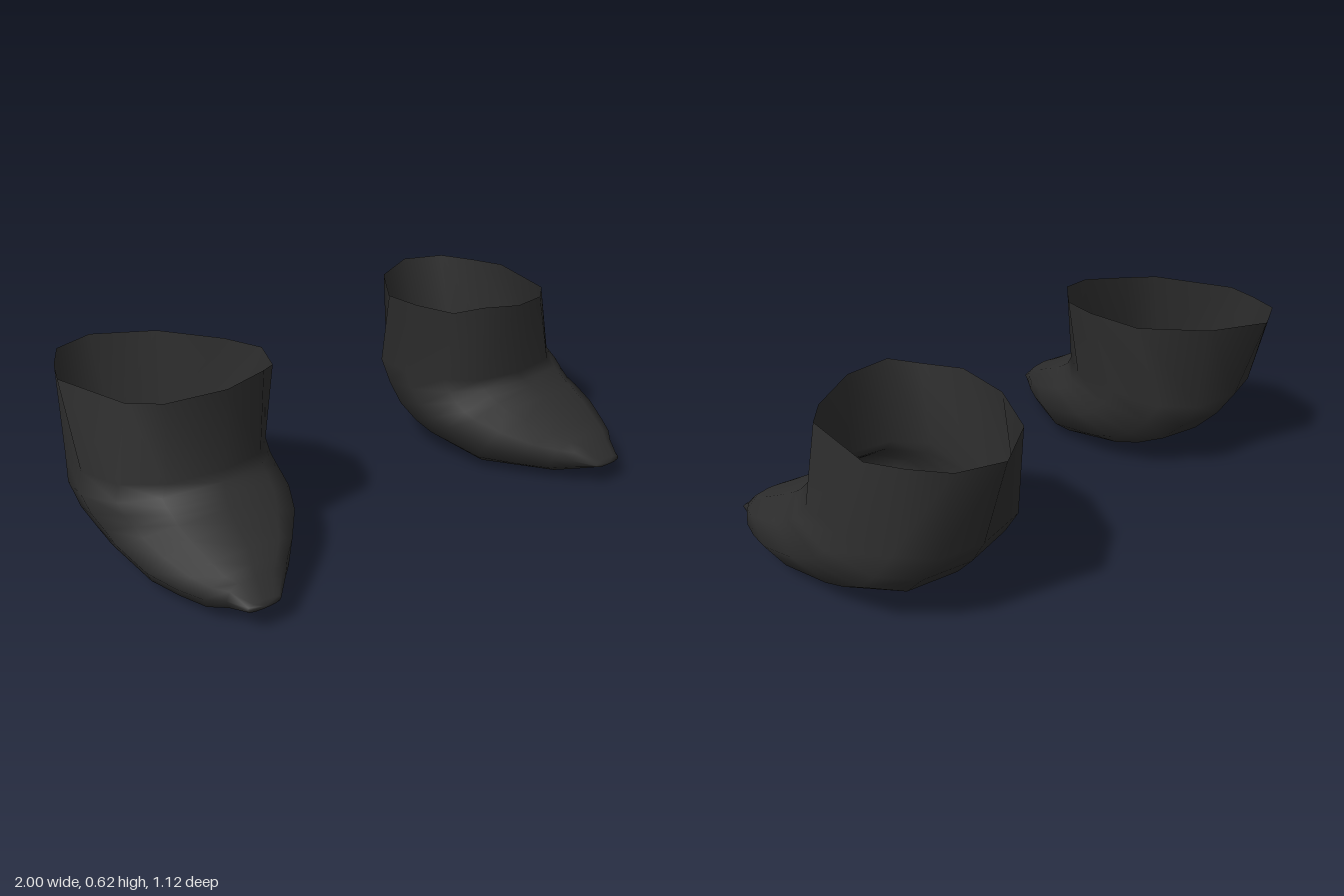
import * as THREE from 'three';

const SIDES = 12;

// Rim of the shaft [x, y, z], from the front round the outer side to the heel and back
const RIM = [
  [0.62, 0.61, 0.187], [0.80, 0.587, 0.12], [0.89, 0.585, 0.04], [0.97, 0.585, -0.26],
  [0.925, 0.585, -0.38], [0.86, 0.587, -0.5], [0.71, 0.585, -0.56], [0.51, 0.585, -0.45],
  [0.365, 0.585, -0.24], [0.338, 0.605, -0.05], [0.39, 0.602, 0.09], [0.47, 0.625, 0.16],
];

// Sections fanning round the ankle: upper point [x, y, z], lower point [x, y, z], inner x, outer x
const SECTIONS = [
  [[0.64, 0.34, 0.18], [0.70, 0.28, -0.46], 0.365, 0.975],
  [[0.66, 0.31, 0.20], [0.69, 0.19, -0.40], 0.365, 1.0],
  [[0.67, 0.295, 0.225], [0.67, 0.11, -0.32], 0.365, 0.995],
  [[0.68, 0.28, 0.25], [0.64, 0.06, -0.21], 0.37, 0.985],
  [[0.69, 0.265, 0.28], [0.60, 0.035, -0.11], 0.38, 0.985],
  [[0.70, 0.235, 0.33], [0.58, 0.0, 0.15], 0.43, 0.965],
  [[0.71, 0.19, 0.41], [0.65, 0.008, 0.28], 0.51, 0.925],
  [[0.73, 0.165, 0.46], [0.70, 0.018, 0.40], 0.58, 0.885],
  [[0.74, 0.148, 0.49], [0.73, 0.045, 0.48], 0.63, 0.84],
  [[0.75, 0.095, 0.545], [0.75, 0.072, 0.553], 0.69, 0.81],
];

// Rounded-square version of sine and cosine
const soft = (v) => Math.sign(v) * Math.pow(Math.abs(v), 0.8);

function sectionRing([top, bottom, inner, outer]) {
  const ring = [];
  for (let k = 0; k < SIDES; k++) {
    const a = (k / SIDES) * Math.PI * 2;
    const t = (1 + soft(Math.cos(a))) / 2;
    const s = soft(Math.sin(a));
    const [x, y, z] = bottom.map((b, i) => THREE.MathUtils.lerp(b, top[i], t));
    ring.push([x + (s > 0 ? outer - x : x - inner) * s, y, z]);
  }
  return ring;
}

// One open boot shell; side is +1 for left, -1 for right
function bootGeometry(side) {
  const rings = [RIM, ...SECTIONS.map(sectionRing)];
  const points = [...rings.flat(), [0.75, 0.082, 0.556]];
  const index = [];
  const tri = (a, b, c) => (side > 0 ? index.push(a, b, c) : index.push(a, c, b));
  for (let k = 0; k < SIDES; k++) {
    const n = (k + 1) % SIDES;
    for (let r = 0; r < rings.length - 1; r++) {
      const a = r * SIDES;
      const b = a + SIDES;
      tri(a + k, b + k, a + n);
      tri(a + n, b + k, b + n);
    }
    // Close the toe
    const last = (rings.length - 1) * SIDES;
    tri(last + k, points.length - 1, last + n);
  }
  const geometry = new THREE.BufferGeometry();
  const positions = points.flatMap(([x, y, z]) => [x * side, y, z]);
  geometry.setAttribute('position', new THREE.Float32BufferAttribute(positions, 3));
  geometry.setIndex(index);
  geometry.computeVertexNormals();
  return geometry;
}

export function createModel() {
  const group = new THREE.Group();
  group.name = 'boots';
  const leather = new THREE.MeshStandardMaterial({ color: 0x2d2d2d, side: THREE.DoubleSide });
  leather.name = 'black leather';
  for (const side of [1, -1]) {
    const boot = new THREE.Mesh(bootGeometry(side), leather);
    boot.name = side > 0 ? 'leftBoot' : 'rightBoot';
    group.add(boot);
  }
  return group;
}
